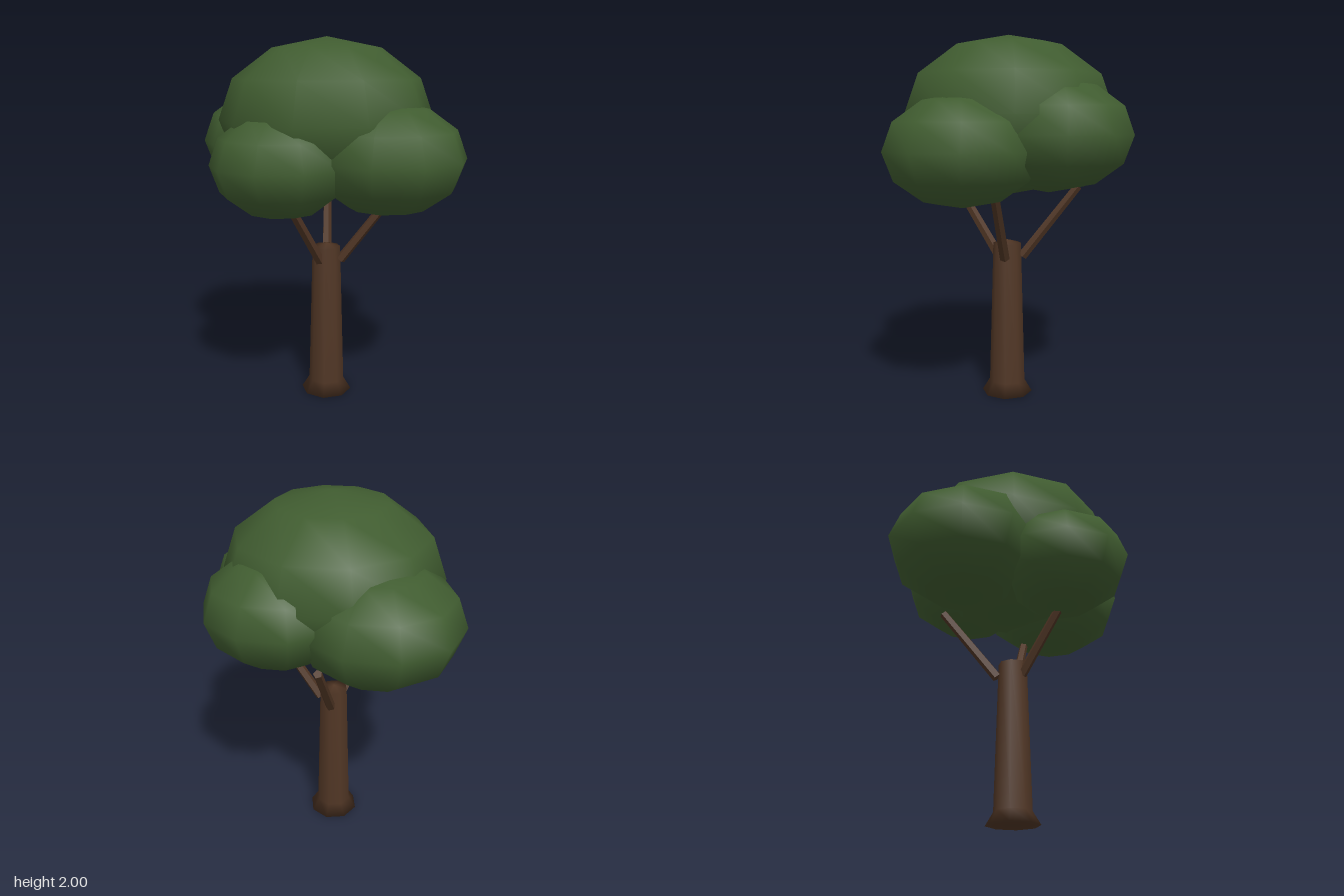
import * as THREE from 'three';

export function createModel() {
  const tree = new THREE.Group();
  tree.name = 'tree';

  const bark = new THREE.MeshStandardMaterial({ color: 0x4f3524 });
  bark.name = 'bark brown';
  const leaf = new THREE.MeshStandardMaterial({ color: 0x405c30 });
  leaf.name = 'leaf green';

  const add = (name, geometry, material) => {
    const mesh = new THREE.Mesh(geometry, material);
    mesh.name = name;
    tree.add(mesh);
    return mesh;
  };

  // Trunk: eight-sided, flared at the foot, slightly domed on top
  const profile = [[0, 0], [0.142, 0], [0.1, 0.068], [0.078, 0.865], [0, 0.885]]
    .map(([r, y]) => new THREE.Vector2(r, y));
  add('trunk', new THREE.LatheGeometry(profile, 8), bark).position.set(0.005, 0, 0.008);

  // Branches: five-sided faceted rods from the trunk top into the crown
  const branch = (name, from, to) => {
    const a = new THREE.Vector3(...from);
    const b = new THREE.Vector3(...to);
    const dir = b.clone().sub(a);
    const rod = new THREE.CylinderGeometry(0.024, 0.028, dir.length(), 5).toNonIndexed();
    rod.computeVertexNormals();
    const mesh = add(name, rod, bark);
    mesh.position.copy(a).add(b).multiplyScalar(0.5);
    mesh.quaternion.setFromUnitVectors(new THREE.Vector3(0, 1, 0), dir.normalize());
  };
  branch('frontBranch', [0.022, 0.79, 0.065], [0.11, 1.185, 0.35]);
  branch('rightBranch', [-0.06, 0.79, -0.045], [-0.3, 1.185, -0.24]);
  branch('leftBranch', [0.065, 0.79, -0.045], [0.29, 1.185, -0.24]);

  // Crown: flattened ten-sided spheres with a corner on the z axis
  const ball = new THREE.SphereGeometry(1, 10, 6).rotateY(Math.PI / 2);
  const crown = [
    ['crownTop', [0, 1.57, 0], 0.58, 0.43],
    ['crownRight', [-0.366, 1.43, 0.07], 0.425, 0.31],
    ['crownLeft', [0.383, 1.39, -0.097], 0.406, 0.29],
    ['crownFront', [0.077, 1.363, 0.35], 0.368, 0.275],
    ['crownBack', [-0.062, 1.47, -0.33], 0.39, 0.29],
  ];
  for (const [name, centre, radius, halfHeight] of crown) {
    const mesh = add(name, ball, leaf);
    mesh.position.set(...centre);
    mesh.scale.set(radius, halfHeight, radius);
  }

  return tree;
}
